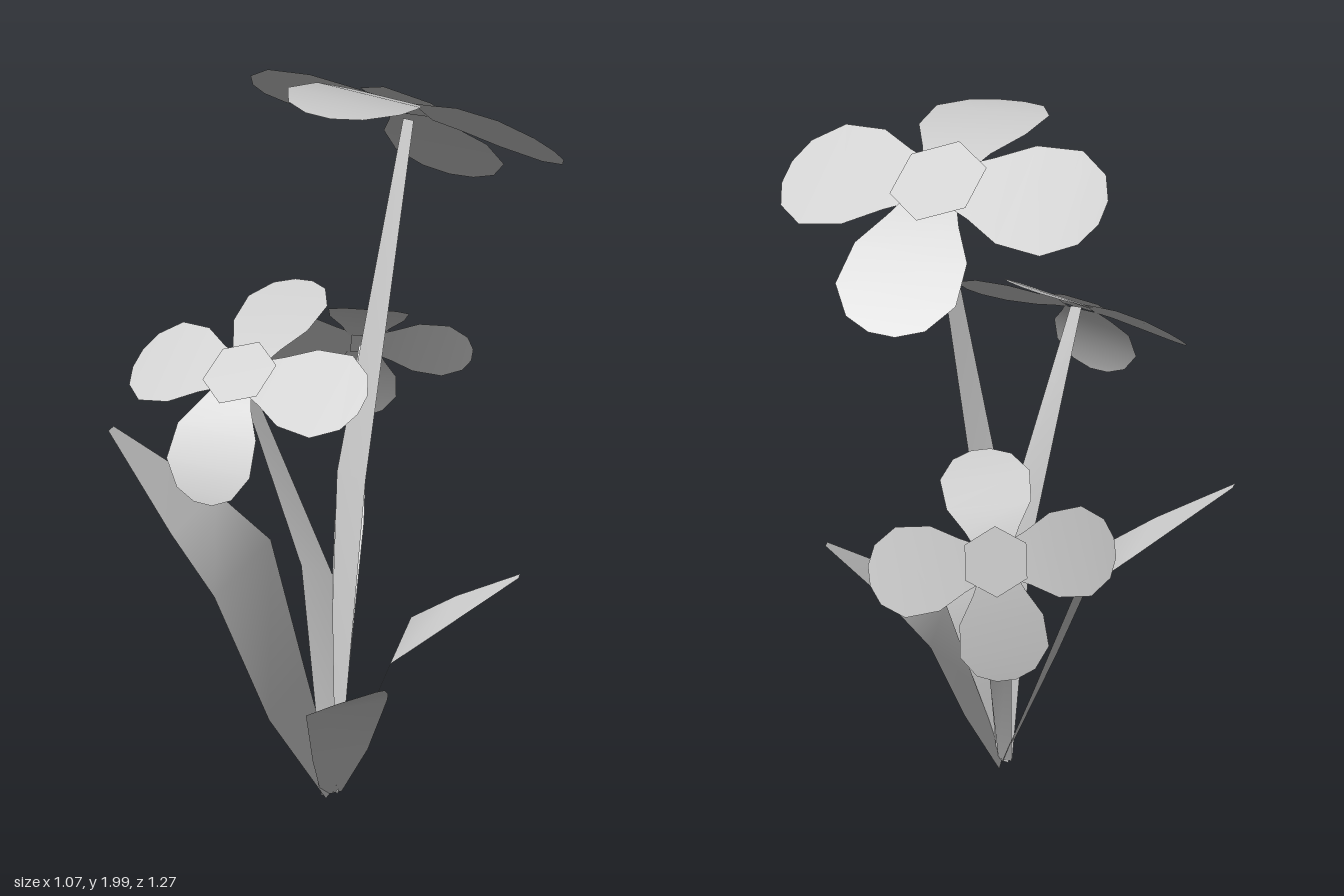
import * as THREE from 'three';

const material = new THREE.MeshStandardMaterial({ color: 0xcccccc, side: THREE.DoubleSide });

// Flat ribbon through rows [x, y, z, halfWidth], widened along a horizontal direction given by its angle from +x
function ribbon(name, rows, angle) {
  const dx = Math.cos(angle), dz = Math.sin(angle);
  const positions = [], index = [];
  rows.forEach(([x, y, z, w], i) => {
    positions.push(x - dx * w, y, z - dz * w, x + dx * w, y, z + dz * w);
    if (i > 0) {
      const a = 2 * i - 2;
      index.push(a, a + 2, a + 1, a + 1, a + 2, a + 3);
    }
  });
  const geometry = new THREE.BufferGeometry();
  geometry.setAttribute('position', new THREE.Float32BufferAttribute(positions, 3));
  geometry.setIndex(index);
  geometry.computeVertexNormals();
  const mesh = new THREE.Mesh(geometry, material);
  mesh.name = name;
  return mesh;
}

// Petal outline: [distance from centre, half width]
const petalOutline = [[0.05, 0.065], [0.115, 0.095], [0.21, 0.15], [0.33, 0.16], [0.41, 0.105], [0.44, 0.035]];
// Petals towards +z, +x, -z, -x
const petals = [
  { droop: 0.16, length: 1, roll: 0 },
  { droop: 0.025, length: 1.03, roll: 0 },
  { droop: 0.048, length: 0.99, roll: -0.1 },
  { droop: 0.045, length: 1, roll: 0 },
];

// Four drooping petals around a hexagonal centre, facing +y before it is turned
function flower(name, position, size, tilt, yaw) {
  const group = new THREE.Group();
  group.name = name;
  petals.forEach(({ droop, length, roll }, i) => {
    const rows = petalOutline.map(([r, w]) => {
      const t = r / 0.44;
      return [0, -droop * t * t, r * length * (1 - 0.6 * droop * t), w];
    });
    const petal = ribbon('petal', rows, 0);
    petal.rotation.set(0, i * Math.PI / 2 + 0.08, roll);
    group.add(petal);
  });
  const disc = new THREE.CircleGeometry(0.125, 6, Math.PI / 6).rotateX(-Math.PI / 2);
  const centre = new THREE.Mesh(disc, material);
  centre.name = 'flowerCentre';
  centre.position.y = 0.01;
  group.add(centre);
  group.position.set(...position);
  group.scale.setScalar(size);
  group.rotation.set(THREE.MathUtils.degToRad(tilt), THREE.MathUtils.degToRad(yaw), 0, 'YXZ');
  return group;
}

export function createModel() {
  const model = new THREE.Group();
  model.name = 'floweringPlant';

  // Stems, each with one bend
  model.add(
    ribbon('tallStem', [[0.1, 0, 0.16, 0.02], [0.098, 0.95, 0.07, 0.046], [0.095, 1.86, -0.18, 0.016]], 0),
    ribbon('frontStem', [[0.09, 0.01, 0.16, 0.02], [0.08, 0.72, 0.2, 0.046], [0.02, 1.36, 0.425, 0.016]], -0.15),
    ribbon('backStem', [[0.09, 0.01, 0.155, 0.02], [-0.025, 0.71, -0.095, 0.044], [-0.235, 1.045, -0.46, 0.016]], -0.2),
  );

  // Flowers
  model.add(
    flower('tallFlower', [0.078, 1.885, -0.19], 1, -35, 0),
    flower('frontFlower', [0.022, 1.36, 0.432], 0.77, 33, 0),
    flower('backFlower', [-0.242, 1.048, -0.467], 0.7, -64, 34),
  );

  // Leaves, widest at the bend and pointed at the tip
  model.add(
    ribbon('largeLeaf', [
      [0.1, 0, 0.165, 0.035], [-0.005, 0.3, 0.22, 0.12], [-0.14, 0.67, 0.235, 0.17],
      [-0.29, 0.8, 0.255, 0.13], [-0.532, 1, 0.3, 0.015],
    ], 1.37),
    ribbon('backLeaf', [
      [0.1, 0, 0.15, 0.035], [0.165, 0.23, 0.085, 0.09], [0.24, 0.48, 0.037, 0.125],
      [0.37, 0.595, 0, 0.09], [0.53, 0.72, -0.085, 0.012],
    ], 1.2),
    ribbon('frontLeaf', [
      [0.105, 0, 0.17, 0.03], [0.16, 0.17, 0.205, 0.08], [0.225, 0.38, 0.265, 0.115],
      [0.315, 0.47, 0.32, 0.07], [0.41, 0.56, 0.378, 0.012],
    ], -0.97),
  );

  return model;
}
